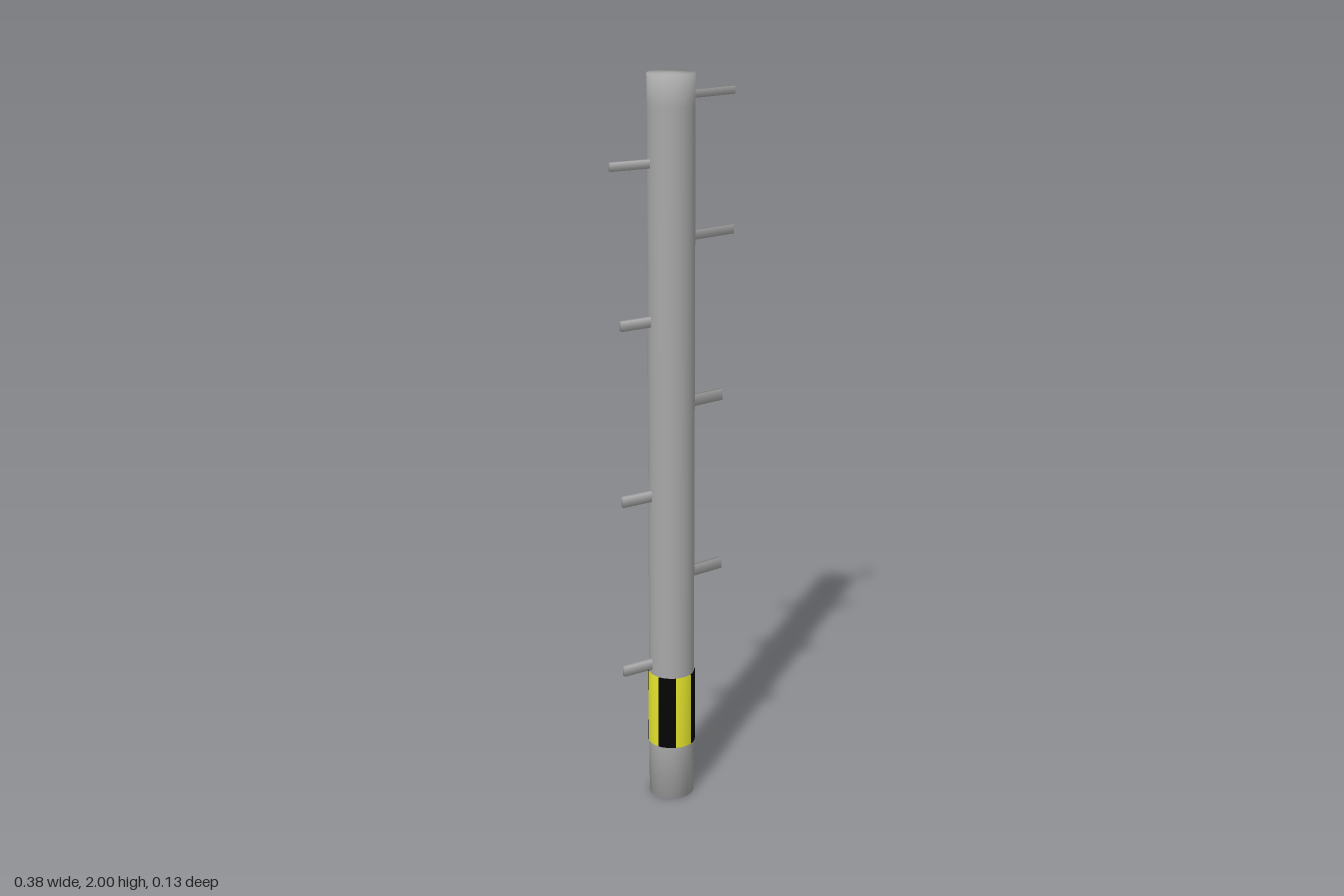
import * as THREE from 'three';

const grey = new THREE.MeshStandardMaterial({ name: 'steel grey', color: 0xa8a8a8 });
const yellow = new THREE.MeshStandardMaterial({ name: 'warning yellow', color: 0xe6e62e });
const black = new THREE.MeshStandardMaterial({ name: 'stripe black', color: 0x050505 });

const POLE_X = -0.018;
const R = 0.062;
const points = (list) => list.map(([x, y]) => new THREE.Vector2(x, y));

function add(parent, name, geometry, material) {
  const mesh = new THREE.Mesh(geometry, material);
  mesh.name = name;
  parent.add(mesh);
  return mesh;
}

// Rectangular climbing peg from the pole to its tip, with softly shaded corners
function pegGeometry(length, height, depth, side) {
  const geometry = new THREE.BoxGeometry(length, height, depth);
  const pos = geometry.attributes.position;
  const n = new THREE.Vector3();
  for (let i = 0; i < pos.count; i++) {
    n.set(side * 0.7, Math.sign(pos.getY(i)), Math.sign(pos.getZ(i))).normalize();
    geometry.attributes.normal.setXYZ(i, n.x, n.y, n.z);
  }
  return geometry;
}

export function createModel() {
  const model = new THREE.Group();
  model.name = 'utilityPole';

  // Round shaft with softly shaded ends
  const shaft = points([[0, 0], [R, 0], [R, 0.16], [R, 1.92], [R, 2], [0, 2]]);
  add(model, 'shaft', new THREE.LatheGeometry(shaft, 32), grey).position.x = POLE_X;

  // Warning band: eight alternating sectors, yellow facing front, back and sides
  const band = new THREE.Group();
  band.name = 'warningBand';
  band.position.x = POLE_X;
  model.add(band);
  const profile = points([[0.058, 0.158], [0.065, 0.158], [0.065, 0.367], [0.058, 0.367]]);
  for (let i = 0; i < 8; i++) {
    const sector = new THREE.LatheGeometry(profile, 4, (i - 0.5) * Math.PI / 4, Math.PI / 4);
    add(band, i % 2 ? 'blackStripe' : 'yellowStripe', sector, i % 2 ? black : yellow);
  }

  // Climbing pegs: y, tip x, tip z, height
  const pegs = [
    [1.941, 0.19, -0.021, 0.02], [1.578, 0.19, -0.021, 0.024],
    [1.13, 0.155, -0.018, 0.03], [0.643, 0.155, -0.018, 0.03],
    [1.775, -0.19, -0.018, 0.022], [1.364, -0.168, -0.008, 0.026],
    [0.885, -0.168, -0.008, 0.028], [0.396, -0.168, -0.008, 0.028],
  ];
  for (const [y, tipX, tipZ, height] of pegs) {
    const side = Math.sign(tipX);
    const rootX = POLE_X + side * 0.05;
    const rootZ = -0.007;
    const dx = tipX - rootX;
    const dz = tipZ - rootZ;
    const peg = add(model, side > 0 ? 'leftPeg' : 'rightPeg',
      pegGeometry(Math.hypot(dx, dz), height, 0.012, side), grey);
    peg.position.set((rootX + tipX) / 2, y, (rootZ + tipZ) / 2);
    peg.rotation.y = -Math.atan(dz / dx);
  }
  return model;
}
